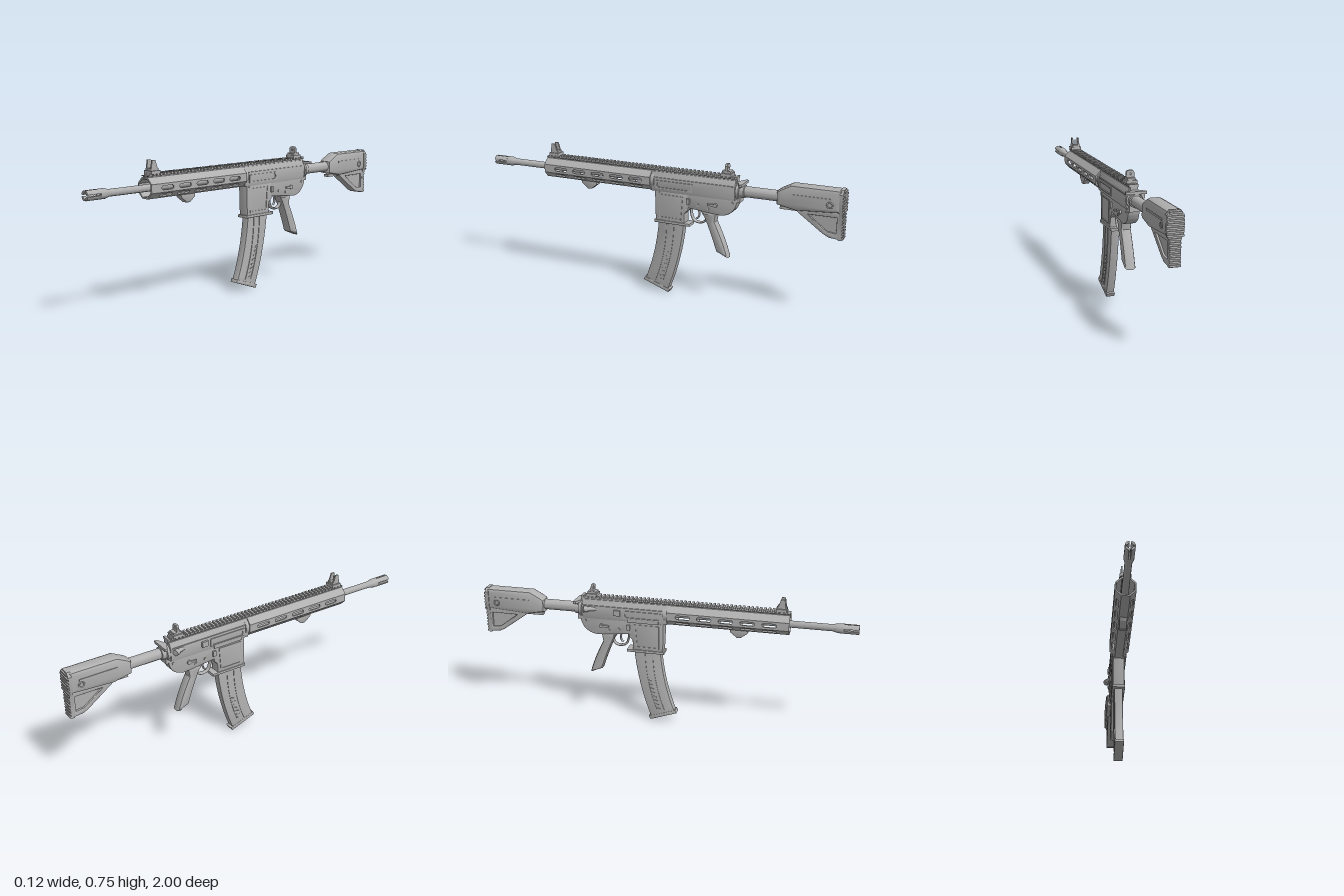
import * as THREE from 'three';
import { toCreasedNormals } from 'three/addons/utils/BufferGeometryUtils.js';

const grey = new THREE.MeshStandardMaterial({ color: 0xb0b0b0 });
grey.name = 'grey';
const AXIS = 0.617; // height of the bore

export function createModel() {
  const model = new THREE.Group();
  model.name = 'rifle';
  const body = new THREE.Group();
  body.name = 'body';
  body.position.x = 0.005;
  model.add(body);

  const add = (name, geo, x = 0, y = 0, z = 0) => {
    const m = new THREE.Mesh(geo, grey);
    m.name = name;
    m.position.set(x, y, z);
    body.add(m);
    return m;
  };
  const box = (name, w, h, d, x, y, z) => add(name, new THREE.BoxGeometry(w, h, d), x, y, z);
  const poly = (pts) => new THREE.Shape(pts.map(([a, b]) => new THREE.Vector2(a, b)));
  const extrude = (shape, depth, bevel = 0) => {
    const g = new THREE.ExtrudeGeometry(shape, {
      depth: depth - 2 * bevel, bevelEnabled: bevel > 0, bevelSize: bevel,
      bevelThickness: bevel, bevelOffset: -bevel, bevelSegments: 2, curveSegments: 12,
    });
    return toCreasedNormals(g.translate(0, 0, bevel - depth / 2), 0.5);
  };
  // side profile in (z, y), given a width across x
  const side = (name, shape, w, bevel = 0, x = 0) =>
    add(name, extrude(shape, w, bevel).rotateY(-Math.PI / 2), x);
  // turned part along z: points are [radius, z], listed back to front
  const turned = (name, pts, y = AXIS) =>
    add(name, new THREE.LatheGeometry(pts.map(([r, z]) => new THREE.Vector2(r, z)), 24).rotateX(Math.PI / 2), 0, y)
      .geometry = toCreasedNormals(new THREE.LatheGeometry(pts.map(([r, z]) => new THREE.Vector2(r, z)), 24).rotateX(Math.PI / 2), 0.5);
  const peg = (name, r, len, x, y, z) =>
    add(name, new THREE.CylinderGeometry(r, r, len, 16).rotateZ(Math.PI / 2), x, y, z);
  const slot = (cx, cy, len, h) => {
    const p = new THREE.Path(), r = h / 2, a = len / 2 - r;
    p.absarc(cx + a, cy, r, -Math.PI / 2, Math.PI / 2);
    p.absarc(cx - a, cy, r, Math.PI / 2, Math.PI * 1.5);
    return p.closePath();
  };

  // barrel and slotted muzzle
  turned('barrel', [[0, 0], [0.018, 0], [0.018, 0.87], [0.021, 0.88], [0.025, 0.895], [0.025, 0.925], [0.012, 0.925], [0, 0.915]]);
  for (let i = 0; i < 4; i++) {
    const s = new THREE.Shape(), a = i * Math.PI / 2 + 0.2, b = a + Math.PI / 2 - 0.4;
    s.absarc(0, 0, 0.025, a, b);
    s.absarc(0, 0, 0.014, b, a, true);
    add('muzzleProng', extrude(s, 0.08), 0, AXIS, 0.96);
  }

  // octagonal handguard of eight panels, slotted on sides and lower slopes
  const half = 0.0215, apothem = 0.052;
  for (let i = 0; i < 8; i++) {
    const panel = poly([[0.02, -half], [0.655, -half], [0.655, half], [0.02, half]]);
    if ([0, 4, 5, 7].includes(i))
      for (let k = 0; k < 5; k++) panel.holes.push(slot(0.555 - k * 0.1125, 0, 0.075, 0.02));
    const g = extrude(panel, 0.008).rotateY(-Math.PI / 2).rotateY(0);
    g.translate(apothem - 0.004, 0, 0).rotateZ(i * Math.PI / 4);
    add('handguardPanel', g, 0, AXIS);
  }
  turned('barrelNut', [[0, 0.0], [0.046, 0.0], [0.046, 0.05], [0, 0.05]]);
  side('handStop', poly([[0.45, 0.57], [0.44, 0.548], [0.405, 0.522], [0.385, 0.522], [0.35, 0.55], [0.35, 0.57]]), 0.04, 0.005);

  // toothed top rail
  const teeth = [[-0.45, 0.674]];
  for (let z = -0.45; z < 0.64; z += 0.022)
    teeth.push([z, 0.687], [z + 0.012, 0.687], [z + 0.012, 0.678], [z + 0.022, 0.678]);
  teeth.push([0.655, 0.678], [0.655, 0.674]);
  side('railTeeth', poly(teeth.reverse()), 0.048);
  box('railBase', 0.034, 0.02, 1.1, 0, 0.667, 0.1);

  // sights
  for (const [z, d] of [[0.609, 0.055], [-0.392, 0.058]]) {
    box('sightBase', 0.057, 0.016, d, 0, 0.692, z);
    box('sightFoot', 0.042, 0.012, d * 0.8, 0, 0.705, z);
  }
  for (const s of [-1, 1])
    side('frontSightEar', poly([[0.588, 0.70], [0.632, 0.70], [0.624, 0.75], [0.605, 0.75]]), 0.008, 0, s * 0.017);
  add('frontSightPost', new THREE.CylinderGeometry(0.003, 0.004, 0.035, 8), 0, 0.722, 0.612);
  const blade = poly([[-0.021, 0.705], [0.021, 0.705], [0.021, 0.735], [0.013, 0.746], [-0.013, 0.746], [-0.021, 0.735]]);
  blade.holes.push(slot(0, 0.728, 0.0101, 0.01));
  add('rearSightBlade', extrude(blade, 0.013), 0, 0, -0.39);

  // upper receiver
  const upper = poly([[-0.034, 0.565], [0.034, 0.565], [0.038, 0.58], [0.038, 0.635], [0.022, 0.668], [-0.022, 0.668], [-0.038, 0.635], [-0.038, 0.58]]);
  add('upperReceiver', extrude(upper, 0.465, 0.003), 0, 0, -0.2125);
  for (const s of [-1, 1]) {
    const frame = poly([[-0.215, 0.582], [-0.01, 0.582], [-0.01, 0.625], [-0.215, 0.625]]);
    frame.holes.push(slot(-0.1125, 0.6035, 0.19, 0.03));
    side('portFrame', frame, 0.008, 0, s * 0.039);
    box('receiverRib', 0.006, 0.006, 0.43, s * 0.038, 0.637, -0.22);
  }
  box('portDoor', 0.006, 0.022, 0.17, -0.041, 0.575, -0.11);
  box('shellDeflector', 0.016, 0.03, 0.035, -0.041, 0.61, -0.25);
  // slanted push knob
  const knob = new THREE.Group();
  knob.name = 'pushKnob';
  for (const [r, len, y] of [[0.012, 0.08, -0.03], [0.016, 0.02, 0.016]]) {
    const m = new THREE.Mesh(new THREE.CylinderGeometry(r, r, len, 16), grey);
    m.name = 'pushKnobPart';
    m.position.y = y;
    knob.add(m);
  }
  knob.rotation.set(-Math.PI / 2, 0, 0.4);
  knob.position.set(-0.043, 0.62, -0.405);
  body.add(knob);
  // charging handle
  box('chargingHandleStem', 0.026, 0.014, 0.08, 0, 0.652, -0.445);
  add('chargingHandle', extrude(poly([[-0.053, -0.472], [-0.053, -0.486], [0.053, -0.486], [0.053, -0.472], [0.02, -0.456], [-0.02, -0.456]]), 0.014).rotateX(Math.PI / 2).scale(1, 1, 1), 0, 0.652);

  // lower receiver with curved rear
  const lower = new THREE.Shape();
  lower.moveTo(-0.16, 0.575);
  lower.lineTo(-0.46, 0.575);
  lower.lineTo(-0.455, 0.55);
  lower.quadraticCurveTo(-0.44, 0.485, -0.37, 0.475);
  lower.lineTo(-0.26, 0.485);
  lower.lineTo(-0.16, 0.495);
  side('lowerReceiver', lower, 0.06, 0.006);
  side('magazineWell', poly([[0, 0.572], [-0.19, 0.572], [-0.19, 0.48], [-0.17, 0.46], [-0.168, 0.395], [-0.008, 0.395], [-0.002, 0.45]]), 0.062, 0.006);
  side('magazineWellLip', poly([[0.002, 0.393], [0.002, 0.408], [-0.2, 0.408], [-0.2, 0.393]]), 0.07, 0.004);
  for (const s of [-1, 1]) {
    const rim = poly([[-0.025, 0.42], [-0.025, 0.55], [-0.16, 0.55], [-0.15, 0.42]]);
    rim.holes.push(poly([[-0.031, 0.427], [-0.143, 0.427], [-0.152, 0.543], [-0.031, 0.543]]));
    side('wellRim', rim, 0.006, 0, s * 0.031);
    for (const [z, y] of [[-0.02, 0.56], [-0.43, 0.55], [-0.245, 0.515], [-0.3, 0.505]])
      peg('pin', 0.007, 0.006, s * 0.031, y, z);
    peg('selectorHub', 0.011, 0.012, s * 0.033, 0.528, -0.34);
    box('selectorLever', 0.008, 0.01, 0.045, s * 0.036, 0.528, -0.32);
    box('catchButton', 0.01, 0.03, 0.018, s * 0.034, 0.53, -0.19);
  }

  // trigger and guard
  const tube = (name, pts, r, sx) => {
    const c = new THREE.CatmullRomCurve3(pts.map(([z, y]) => new THREE.Vector3(0, y, z)));
    add(name, new THREE.TubeGeometry(c, 24, r, 8).scale(sx, 1, 1));
  };
  tube('triggerGuard', [[-0.195, 0.495], [-0.2, 0.45], [-0.215, 0.424], [-0.25, 0.416], [-0.277, 0.43], [-0.285, 0.475]], 0.006, 2.2);
  tube('trigger', [[-0.235, 0.49], [-0.242, 0.465], [-0.238, 0.445], [-0.228, 0.435]], 0.005, 1.5);

  // grip
  const grip = new THREE.Shape();
  grip.moveTo(-0.255, 0.485);
  grip.lineTo(-0.275, 0.455);
  grip.quadraticCurveTo(-0.31, 0.38, -0.345, 0.275);
  grip.lineTo(-0.412, 0.248);
  grip.quadraticCurveTo(-0.39, 0.33, -0.337, 0.435);
  grip.lineTo(-0.345, 0.485);
  side('grip', grip, 0.058, 0.015);

  // curved magazine
  const mag = new THREE.Shape();
  mag.moveTo(-0.02, 0.42);
  mag.lineTo(-0.165, 0.42);
  mag.quadraticCurveTo(-0.145, 0.2, -0.07, 0.012);
  mag.lineTo(0.06, 0.06);
  mag.quadraticCurveTo(-0.005, 0.22, -0.02, 0.42);
  side('magazine', mag, 0.044, 0.005);
  side('magazineFloor', poly([[0.07, 0.052], [0.063, 0.07], [-0.086, 0.019], [-0.075, 0]]), 0.048, 0.004);
  const strip = new THREE.Shape();
  strip.moveTo(-0.06, 0.39);
  strip.quadraticCurveTo(-0.055, 0.21, 0.005, 0.06);
  strip.lineTo(0, 0.058);
  strip.quadraticCurveTo(-0.061, 0.21, -0.066, 0.39);
  for (const s of [-1, 1]) {
    for (const dz of [0, -0.042]) side('magazineRib', strip, 0.006, 0, s * 0.022).position.z = dz;
    for (let k = 0; k < 8; k++) {
      const y = 0.07 + k * 0.023;
      const tick = box('magazineMark', 0.005, 0.006, 0.02, s * 0.022, y, -0.03 - k * 0.007);
      tick.rotation.x = 0.3;
    }
  }

  // buffer tube and castle nut
  turned('bufferTube', [[0, -0.7], [0.028, -0.7], [0.028, -0.49], [0.034, -0.488], [0.034, -0.465], [0.042, -0.463], [0.042, -0.448], [0, -0.448]], 0.612);
  box('endPlate', 0.056, 0.085, 0.014, 0, 0.598, -0.463);

  // shoulder stock
  side('stockUpper', poly([[-0.66, 0.575], [-0.66, 0.642], [-0.68, 0.656], [-0.735, 0.685], [-0.985, 0.685], [-0.985, 0.57], [-0.76, 0.555]]), 0.08, 0.018);
  const frame = poly([[-0.74, 0.575], [-0.985, 0.575], [-0.985, 0.435], [-0.93, 0.44], [-0.9, 0.455], [-0.77, 0.548]]);
  frame.holes.push(poly([[-0.82, 0.545], [-0.965, 0.545], [-0.965, 0.465], [-0.92, 0.47]]));
  side('stockLower', frame, 0.054, 0.004);
  side('stockWeb', poly([[-0.8, 0.56], [-0.975, 0.56], [-0.975, 0.455], [-0.92, 0.46]]), 0.034);
  box('stockLever', 0.03, 0.014, 0.09, 0, 0.558, -0.72);
  for (const s of [-1, 1]) {
    add('slingSocket', new THREE.TorusGeometry(0.014, 0.004, 8, 20).rotateY(Math.PI / 2), s * 0.039, 0.608, -0.93);
    box('stockRidge', 0.008, 0.01, 0.2, s * 0.039, 0.635, -0.84);
  }
  // ribbed butt pad, wide above and narrow below
  const pad = poly([[-0.026, 0.432], [0.026, 0.432], [0.028, 0.555], [0.041, 0.585], [0.041, 0.665], [0.025, 0.687], [-0.025, 0.687], [-0.041, 0.665], [-0.041, 0.585], [-0.028, 0.555]]);
  add('buttPad', extrude(pad, 0.018), 0, 0, -0.984);
  for (let k = 0; k < 15; k++) {
    const y = 0.44 + k * 0.0168;
    box('padRib', y > 0.57 ? (y > 0.67 ? 0.056 : 0.08) : 0.052, 0.009, 0.009, 0, y, -0.9955);
  }
  return model;
}
